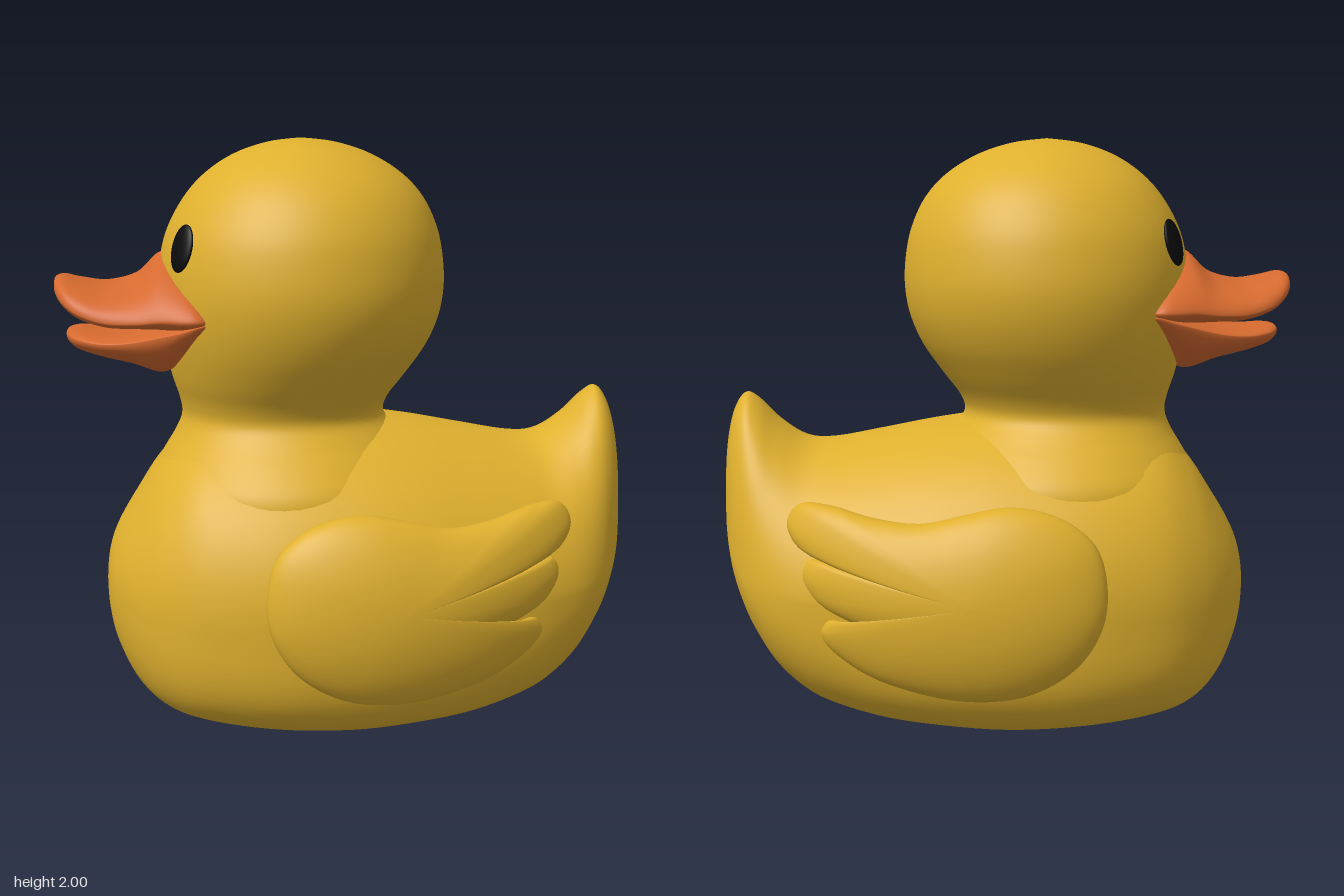
import * as THREE from 'three';

const yellow = new THREE.MeshStandardMaterial({ color: 0xdfb02e });
yellow.name = 'duckYellow';
const orange = new THREE.MeshStandardMaterial({ color: 0xd66a2f });
orange.name = 'beakOrange';
const black = new THREE.MeshStandardMaterial({ color: 0x0b0b0b });
black.name = 'eyeBlack';

// Skin closed loops of points into one smooth surface that faces outward
function skin(loops) {
  const n = loops[0].length, index = [];
  const pts = loops.flat();
  for (let i = 0; i < loops.length - 1; i++) {
    for (let j = 0; j < n; j++) {
      const a = i * n + j, b = i * n + (j + 1) % n;
      index.push(a, b, a + n, b, b + n, a + n);
    }
  }
  let volume = 0;
  const cross = new THREE.Vector3();
  for (let k = 0; k < index.length; k += 3) {
    volume += pts[index[k]].dot(cross.crossVectors(pts[index[k + 1]], pts[index[k + 2]]));
  }
  if (volume < 0) index.reverse();
  const geometry = new THREE.BufferGeometry().setFromPoints(pts);
  geometry.setIndex(index);
  geometry.computeVertexNormals();
  return geometry;
}

// Smoothly interpolate a table of stations
function refine(table, steps) {
  const rows = [];
  const at = i => table[Math.min(Math.max(i, 0), table.length - 1)];
  for (let k = 0; k <= (table.length - 1) * steps; k++) {
    const i = Math.floor(k / steps), t = k / steps - i;
    rows.push(at(i).map((p1, c) => {
      const p0 = at(i - 1)[c], p2 = at(i + 1)[c], p3 = at(i + 2)[c];
      return p1 + 0.5 * t * (p2 - p0 + t * (2 * p0 - 5 * p1 + 4 * p2 - p3 + t * (3 * (p1 - p2) + p3 - p0)));
    }));
  }
  return rows;
}

const power = (v, e) => Math.sign(v) * Math.pow(Math.abs(v), e);

// Stations along x: [x, top, bottom, height of widest point, half width, roundness above, roundness below]
function loftX(table, steps = 6, sides = 72) {
  return skin(refine(table, steps).map(([x, top, bottom, mid, w, pTop, pLow]) =>
    Array.from({ length: sides }, (_, j) => {
      const t = j / sides * Math.PI * 2, s = Math.sin(t);
      const e = 2 / (s > 0 ? pTop : pLow);
      const y = mid + (s > 0 ? top - mid : mid - bottom) * power(s, e);
      return new THREE.Vector3(x, y, w * power(Math.cos(t), e));
    })));
}

// Stations going up: [y, front x, back x, half width]
function loftY(table, steps = 5, sides = 64) {
  return skin(refine(table, steps).map(([y, x0, x1, w]) =>
    Array.from({ length: sides }, (_, j) => {
      const t = j / sides * Math.PI * 2;
      return new THREE.Vector3((x0 + x1) / 2 + (x1 - x0) / 2 * Math.cos(t), y, w * Math.sin(t));
    })));
}

// Wing: a pillow over a feathered outline, bent around the body
function wingGeometry(side) {
  const outline = new THREE.CatmullRomCurve3([
    [-0.3, 0.55], [-0.27, 0.69], [-0.19, 0.77], [-0.08, 0.815], [0.03, 0.825], [0.16, 0.8],
    [0.3, 0.77], [0.45, 0.78], [0.6, 0.81], [0.7, 0.805], [0.74, 0.74], [0.7, 0.67],
    [0.5, 0.605], [0.66, 0.635], [0.69, 0.58], [0.64, 0.5], [0.47, 0.42], [0.6, 0.445],
    [0.63, 0.39], [0.5, 0.28], [0.3, 0.215], [0.12, 0.195], [-0.05, 0.22], [-0.2, 0.31], [-0.28, 0.43],
  ].map(([x, y]) => new THREE.Vector3(x, y, 0)), true).getPoints(150).slice(0, -1);
  const cx = 0.15, cy = 0.53, loops = [], rings = 32;
  for (let k = 0; k <= rings; k++) {
    const a = k / rings * Math.PI;
    const s = Math.max(Math.sin(a), 0.002);
    const lift = 0.09 * power(Math.cos(a), 0.8);
    loops.push(outline.map(p => {
      const x = cx + (p.x - cx) * s, y = cy + (p.y - cy) * s;
      const z = 0.64 - 0.36 * (x + 0.05) ** 2 - 0.5 * (y - 0.45) ** 2 + lift;
      return new THREE.Vector3(x, y, z * side);
    }));
  }
  return skin(loops);
}

export function createModel() {
  const duck = new THREE.Group();
  duck.name = 'rubberDuck';
  const add = (name, geometry, material) => {
    const mesh = new THREE.Mesh(geometry, material);
    mesh.name = name;
    duck.add(mesh);
    return mesh;
  };

  // Body with the upturned tail
  add('body', loftX([
    [-0.83, 0.471, 0.469, 0.47, 0.001, 2, 2],
    [-0.82, 0.57, 0.36, 0.47, 0.13, 2, 2.1],
    [-0.79, 0.66, 0.25, 0.47, 0.245, 2, 2.3],
    [-0.72, 0.78, 0.13, 0.46, 0.37, 2, 2.6],
    [-0.62, 0.925, 0.06, 0.45, 0.475, 2, 3],
    [-0.48, 1.03, 0.03, 0.45, 0.56, 2, 3.3],
    [-0.25, 1.06, 0.01, 0.45, 0.62, 2, 3.5],
    [0, 1.06, 0, 0.45, 0.625, 2, 3.5],
    [0.22, 1.035, 0.012, 0.45, 0.605, 1.95, 3.4],
    [0.42, 1.0, 0.03, 0.46, 0.56, 1.85, 3.2],
    [0.6, 0.97, 0.065, 0.48, 0.505, 1.75, 2.8],
    [0.7, 0.98, 0.11, 0.49, 0.465, 1.65, 2.6],
    [0.79, 1.04, 0.185, 0.5, 0.415, 1.6, 2.4],
    [0.86, 1.11, 0.285, 0.52, 0.355, 1.6, 2.2],
    [0.905, 1.13, 0.375, 0.55, 0.295, 1.65, 2.1],
    [0.945, 1.075, 0.485, 0.61, 0.215, 1.8, 2],
    [0.97, 0.96, 0.62, 0.7, 0.12, 2, 2],
    [0.98, 0.781, 0.779, 0.78, 0.001, 2, 2],
  ]), yellow);

  // Neck flare and round head
  add('head', loftY([
    [0.75, -0.68, 0.3, 0.5], [0.85, -0.665, 0.3, 0.485], [0.93, -0.622, 0.25, 0.425],
    [1.0, -0.58, 0.19, 0.36], [1.06, -0.557, 0.145, 0.318], [1.12, -0.565, 0.16, 0.332],
    [1.2, -0.59, 0.22, 0.385], [1.3, -0.612, 0.29, 0.443], [1.4, -0.626, 0.333, 0.48],
    [1.5, -0.63, 0.35, 0.495], [1.6, -0.622, 0.346, 0.486], [1.7, -0.595, 0.325, 0.46],
    [1.8, -0.54, 0.278, 0.405], [1.88, -0.468, 0.205, 0.33], [1.945, -0.37, 0.1, 0.228],
    [1.985, -0.255, -0.02, 0.115], [2, -0.141, -0.139, 0.001],
  ]), yellow);

  // Beak halves
  add('upperBeak', loftX([
    [-0.98, 1.521, 1.519, 1.52, 0.001, 2, 2],
    [-0.973, 1.54, 1.485, 1.505, 0.1, 2, 2],
    [-0.945, 1.546, 1.445, 1.475, 0.18, 2, 2],
    [-0.89, 1.533, 1.405, 1.44, 0.235, 2, 2],
    [-0.8, 1.523, 1.38, 1.415, 0.272, 1.9, 2],
    [-0.7, 1.55, 1.375, 1.415, 0.302, 1.7, 2],
    [-0.62, 1.62, 1.37, 1.425, 0.33, 1.5, 2],
    [-0.54, 1.6, 1.36, 1.425, 0.36, 1.5, 2],
    [-0.49, 1.52, 1.37, 1.425, 0.362, 1.7, 2],
    [-0.45, 1.43, 1.41, 1.42, 0.33, 2, 2],
  ]), orange);
  add('lowerBeak', loftX([
    [-0.945, 1.346, 1.344, 1.345, 0.001, 2, 2],
    [-0.935, 1.362, 1.322, 1.345, 0.08, 2, 2],
    [-0.9, 1.367, 1.295, 1.34, 0.15, 2, 2],
    [-0.82, 1.36, 1.27, 1.335, 0.215, 2, 2],
    [-0.72, 1.365, 1.245, 1.345, 0.262, 2, 2],
    [-0.62, 1.39, 1.21, 1.37, 0.31, 2, 1.8],
    [-0.55, 1.41, 1.25, 1.39, 0.345, 2, 1.7],
    [-0.49, 1.42, 1.34, 1.41, 0.358, 2, 1.8],
    [-0.45, 1.42, 1.4, 1.41, 0.33, 2, 2],
  ]), orange);

  // Eyes and wings on both sides
  for (const side of [1, -1]) {
    const label = side > 0 ? 'left' : 'right';
    const eye = add(label + 'Eye', new THREE.SphereGeometry(1, 32, 20), black);
    eye.scale.set(0.056, 0.08, 0.016);
    eye.position.set(-0.546, 1.655, 0.255 * side);
    eye.lookAt(-0.95, 1.78, 0.51 * side);
    add(label + 'Wing', wingGeometry(side), yellow);
  }
  return duck;
}
